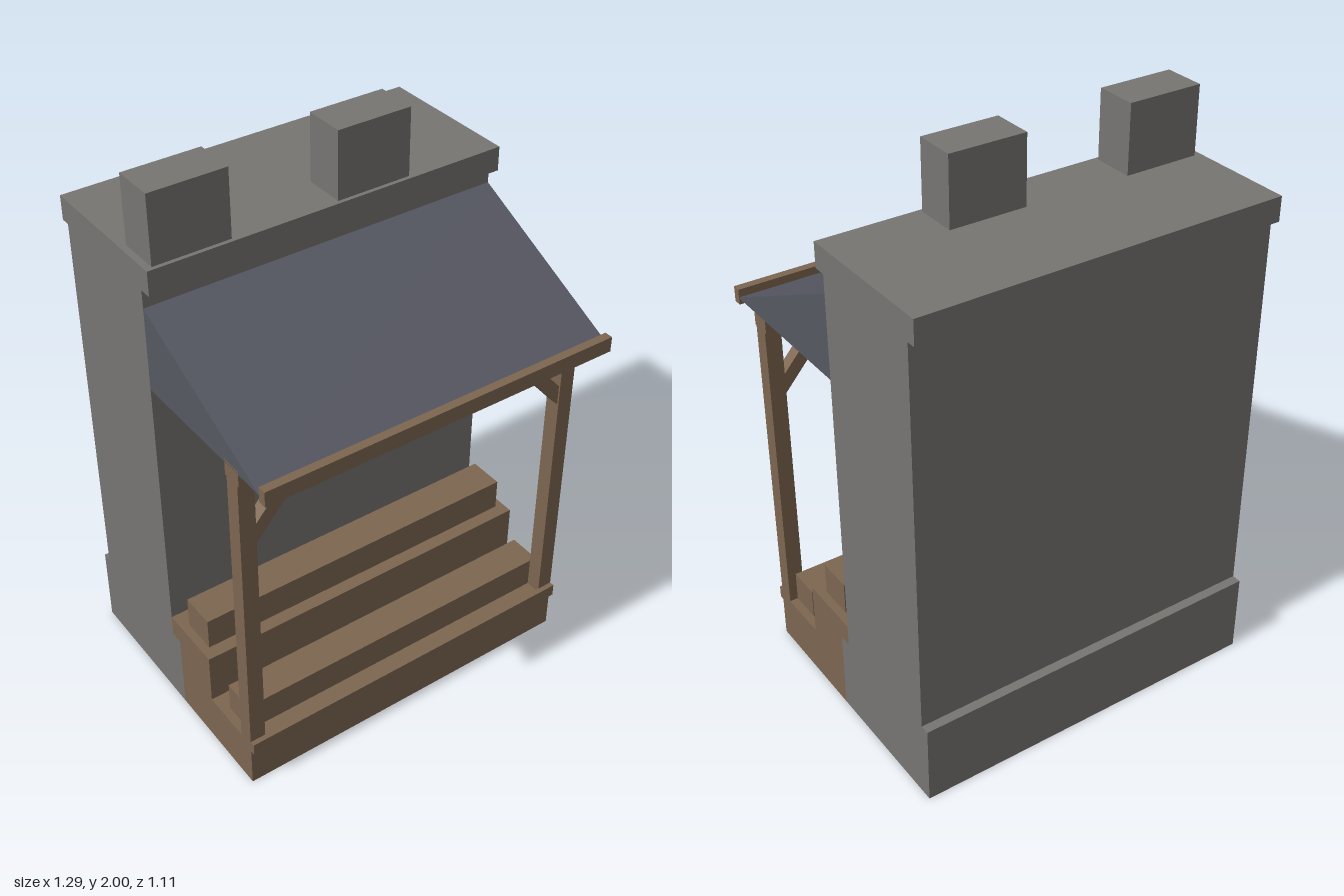
import * as THREE from 'three';

const HALF = 0.643; // half of the overall width

export function createModel() {
  const model = new THREE.Group();
  model.name = 'marketStall';

  const material = (name, color) => {
    const m = new THREE.MeshStandardMaterial({ color });
    m.name = name;
    return m;
  };
  const stone = material('stone grey', 0x777572);
  const wood = material('brown wood', 0x7d6650);
  const slate = material('dark slate', 0x565862);

  const add = (name, geometry, mat) => {
    const mesh = new THREE.Mesh(geometry, mat);
    mesh.name = name;
    model.add(mesh);
    return mesh;
  };

  // Box given by its limits on each axis
  const box = (name, mat, [x0, x1], [y0, y1], [z0, z1]) => {
    const g = new THREE.BoxGeometry(x1 - x0, y1 - y0, z1 - z0);
    g.translate((x0 + x1) / 2, (y0 + y1) / 2, (z0 + z1) / 2);
    return add(name, g, mat);
  };

  const polygon = (points) => new THREE.Shape(points.map(([a, b]) => new THREE.Vector2(a, b)));

  // Side profile in (z, y), extended across the full width
  const sideProfile = (name, mat, points) => {
    const g = new THREE.ExtrudeGeometry(polygon(points), { depth: HALF * 2, bevelEnabled: false });
    g.translate(0, 0, -HALF);
    g.rotateY(-Math.PI / 2);
    return add(name, g, mat);
  };

  const full = [-HALF, HALF];

  // Stone wall: plinth, body, coping and two chimneys
  box('wallPlinth', stone, full, [0, 0.29], [-0.555, -0.024]);
  box('wallBody', stone, full, [0.29, 1.68], [-0.522, -0.07]);
  box('wallCoping', stone, full, [1.68, 1.765], [-0.555, -0.026]);
  box('leftChimney', stone, [0.024, 0.292], [1.765, 2], [-0.186, -0.04]);
  box('rightChimney', stone, [-0.62, -0.353], [1.765, 2], [-0.186, -0.04]);

  // Stepped wooden counter with two display shelves and a front rail
  sideProfile('counter', wood, [
    [-0.024, 0], [0.412, 0], [0.412, 0.18], [0.17, 0.18],
    [0.17, 0.37], [-0.07, 0.37], [-0.07, 0.29], [-0.024, 0.29],
  ]);
  box('frontShelf', wood, [-0.613, 0.613], [0.18, 0.29], [0.237, 0.355]);
  box('backShelf', wood, [-0.613, 0.613], [0.37, 0.487], [-0.005, 0.123]);
  box('frontRail', wood, full, [0.15, 0.196], [0.41, 0.43]);

  // Posts and diagonal braces, mirrored
  for (const [side, s] of [['left', 1], ['right', -1]]) {
    const xs = [s * 0.587, s * HALF].sort((a, b) => a - b);
    box(side + 'Post', wood, xs, [0.18, 1.28], [0.355, 0.412]);

    const corners = [[0.587, 1.027], [0.587, 1.1], [0.43, 1.28], [0.367, 1.28]];
    const brace = new THREE.ExtrudeGeometry(
      polygon(corners.map(([x, y]) => [s * x, y])),
      { depth: 0.044, bevelEnabled: false },
    );
    brace.translate(0, 0, 0.362);
    add(side + 'Brace', brace, wood);
  }

  // Beam, lean-to roof and fascia board
  box('beam', wood, full, [1.28, 1.34], [0.347, 0.419]);
  sideProfile('roof', slate, [[-0.07, 1.327], [0.53, 1.327], [-0.07, 1.617]]);
  box('fascia', wood, full, [1.303, 1.357], [0.526, 0.556]);

  return model;
}
